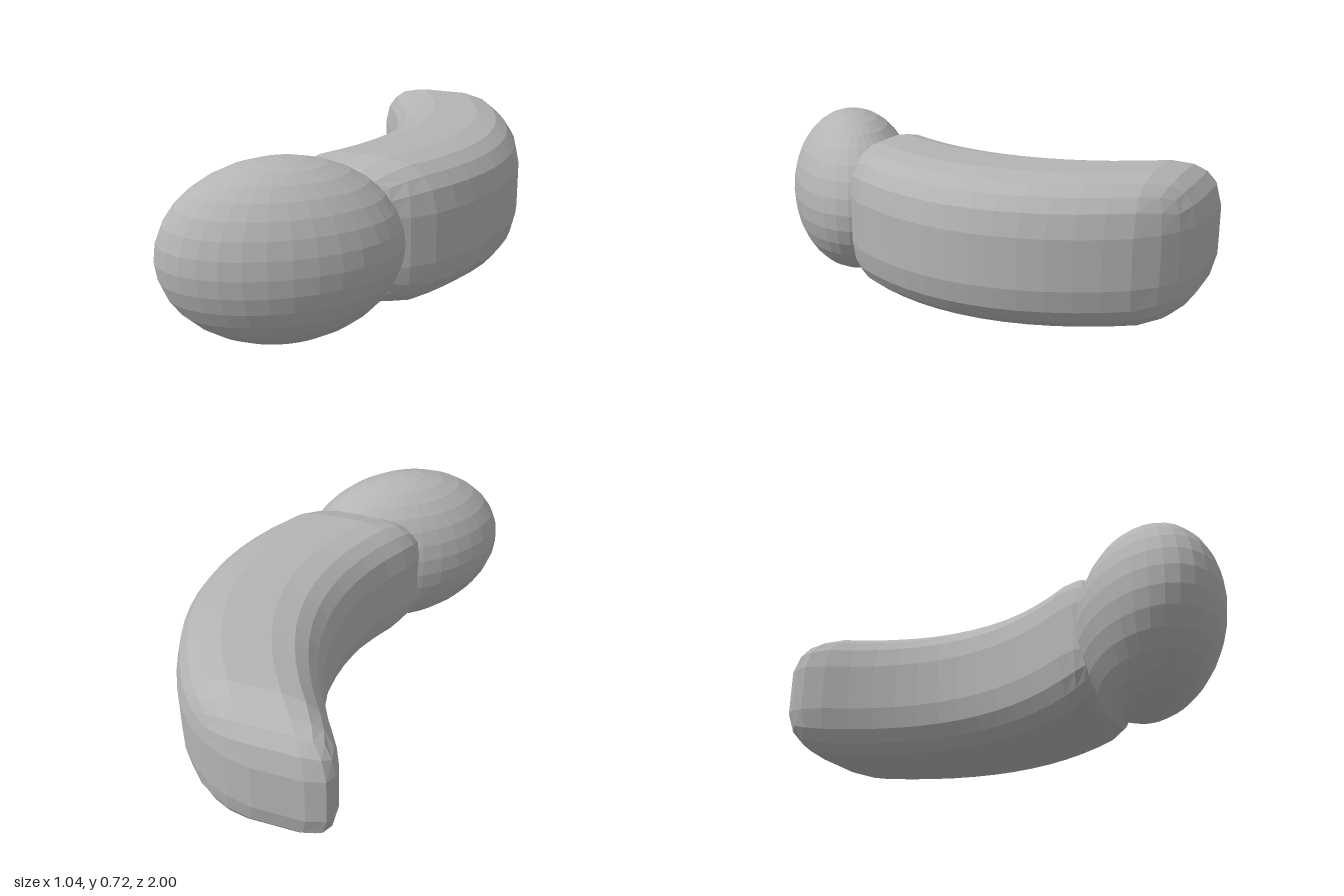
import * as THREE from 'three';

const grey = new THREE.MeshStandardMaterial({ color: 0xb4b4b4, flatShading: true });
grey.name = 'plain grey';

// Rounded bar along z, bent sideways by a parabola
function bentBar(half, radius, zBack, zFront, offset) {
  const length = zFront - zBack;
  const geo = new THREE.BoxGeometry(half * 2, half * 2, length, 6, 6, 16);
  const pos = geo.attributes.position;
  const limit = new THREE.Vector3(half - radius, half - radius, length / 2 - radius);
  const low = limit.clone().negate();
  const p = new THREE.Vector3();
  const core = new THREE.Vector3();
  for (let i = 0; i < pos.count; i++) {
    p.fromBufferAttribute(pos, i);
    core.copy(p).clamp(low, limit);
    p.sub(core).setLength(radius).add(core);
    p.z += (zBack + zFront) / 2;
    p.x += offset(p.z);
    pos.setXYZ(i, p.x, p.y, p.z);
  }
  geo.computeVertexNormals();
  return geo;
}

export function createModel() {
  const model = new THREE.Group();
  model.name = 'bentBarWithHead';

  // Curved body
  const body = new THREE.Mesh(
    bentBar(0.3, 0.2, -1, 0.5, (z) => 0.22 - 0.56 * (z + 0.2) ** 2),
    grey
  );
  body.name = 'curvedBody';
  body.position.y = 0.36;
  model.add(body);

  // Egg-shaped head, turned across the front end
  const head = new THREE.Mesh(new THREE.SphereGeometry(1, 32, 16), grey);
  head.name = 'ovalHead';
  head.scale.set(0.466, 0.36, 0.277);
  head.rotation.y = THREE.MathUtils.degToRad(36.3);
  head.position.set(-0.113, 0.36, 0.645);
  model.add(head);

  return model;
}
